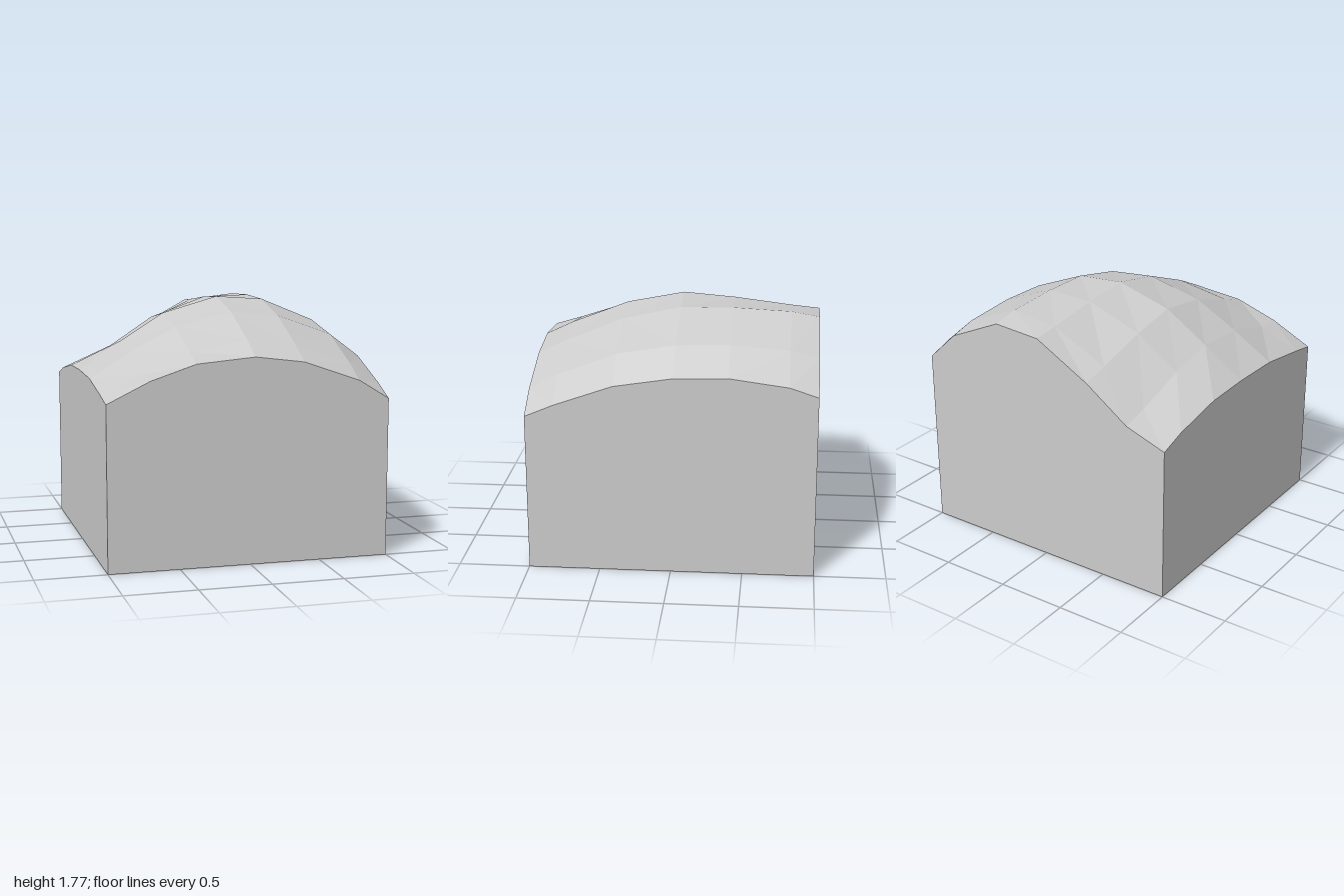
import * as THREE from 'three';

// Grid lines across the block and the surface height at each crossing
const X = [-1, -0.7, -0.38, 0.03, 0.38, 0.78, 1];
const Z = [-1, -0.8, -0.39, -0.02, 0.39, 0.8, 1];
const HEIGHT = [
  [1.12, 1.225, 1.45, 1.675, 1.70, 1.515, 1.305],
  [1.18, 1.27, 1.50, 1.695, 1.735, 1.565, 1.37],
  [1.25, 1.39, 1.60, 1.745, 1.755, 1.595, 1.425],
  [1.26, 1.46, 1.66, 1.775, 1.75, 1.585, 1.415],
  [1.25, 1.43, 1.60, 1.695, 1.66, 1.515, 1.35],
  [1.19, 1.32, 1.465, 1.535, 1.49, 1.355, 1.205],
  [1.155, 1.30, 1.405, 1.44, 1.395, 1.255, 1.12],
];

export function createModel() {
  const n = X.length - 1;
  const geometry = new THREE.BoxGeometry(2, 1, 2, n, 1, n);
  const pos = geometry.attributes.position;

  // Shift the grid lines, drop the base to the ground and lift the top into a hill
  for (let k = 0; k < pos.count; k++) {
    const i = Math.round((pos.getX(k) + 1) * n / 2);
    const j = Math.round((pos.getZ(k) + 1) * n / 2);
    pos.setXYZ(k, X[i], pos.getY(k) > 0 ? HEIGHT[j][i] : 0, Z[j]);
  }

  // Turn the diagonals of the top facets, except on the front corner at +x
  const index = geometry.index;
  const start = geometry.groups[2].start;
  for (let j = 0; j < n; j++) {
    for (let i = 0; i < n; i++) {
      if (i >= 4 && j >= 3) continue;
      const q = start + (j * n + i) * 6;
      const a = index.getX(q), b = index.getX(q + 1), d = index.getX(q + 2), c = index.getX(q + 4);
      [a, b, c, a, c, d].forEach((v, k) => index.setX(q + k, v));
    }
  }

  const faceted = geometry.toNonIndexed();
  faceted.clearGroups();
  faceted.computeVertexNormals();
  const block = new THREE.Mesh(faceted,
    new THREE.MeshStandardMaterial({ color: 0xcccccc, flatShading: true }));
  block.name = 'terrainBlock';

  const group = new THREE.Group();
  group.name = 'hillBlock';
  group.add(block);
  return group;
}
